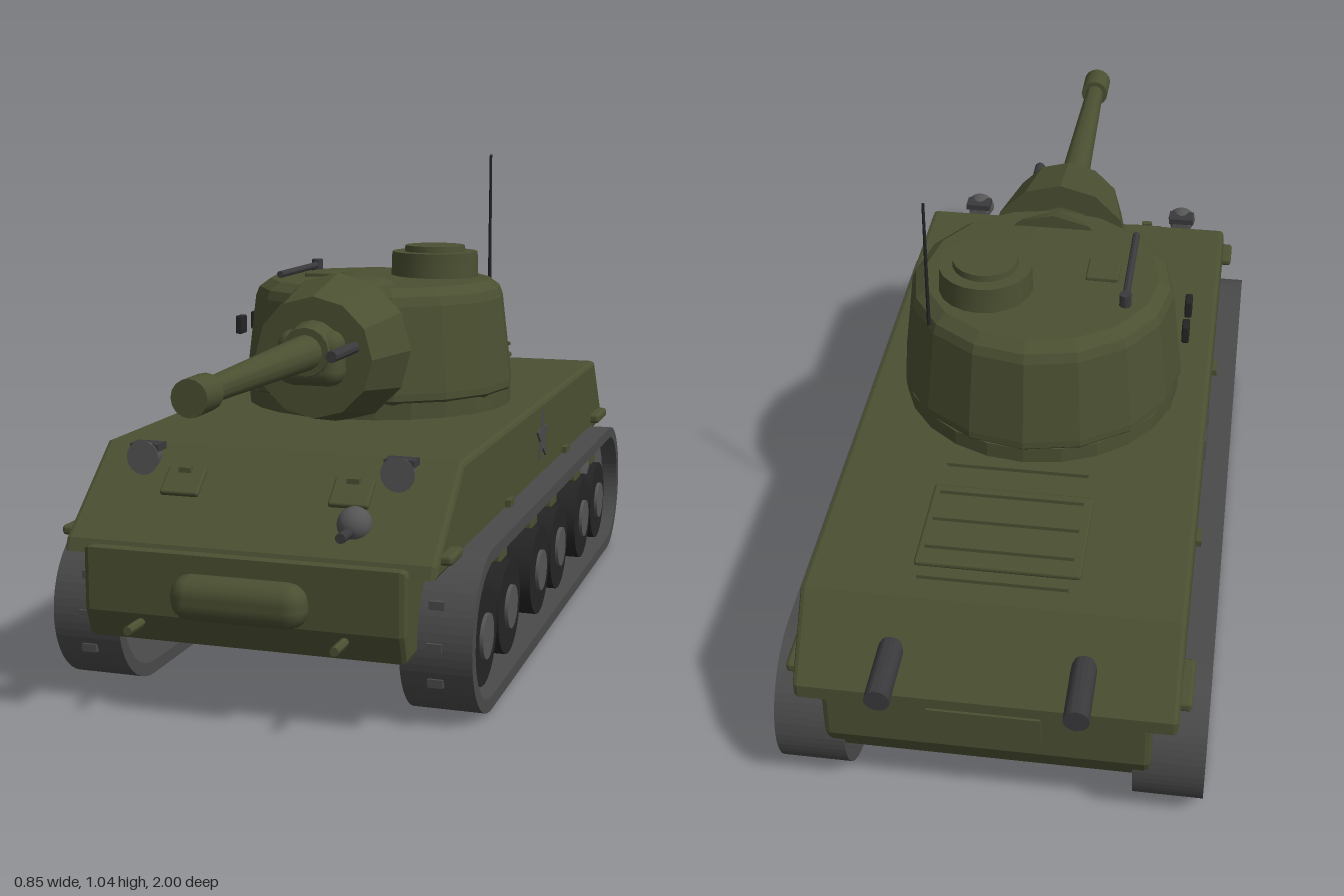
import * as THREE from 'three';
import { toCreasedNormals } from 'three/addons/utils/BufferGeometryUtils.js';
import { RoundedBoxGeometry } from 'three/addons/geometries/RoundedBoxGeometry.js';

const paint = (name, color) => Object.assign(new THREE.MeshStandardMaterial({ color }), { name });

export function createModel() {
  const model = new THREE.Group();
  model.name = 'tank';
  const green = paint('olive green', 0x4b5032);
  const grey = paint('track grey', 0x4a4a4a);
  const hubGrey = paint('hub grey', 0x555555);
  const rubber = paint('rubber black', 0x242424);
  const steel = paint('gun steel', 0x3a3a3c);

  const add = (name, geo, mat, x = 0, y = 0, z = 0, parent = model) => {
    const mesh = new THREE.Mesh(geo, mat);
    mesh.name = name;
    mesh.position.set(x, y, z);
    parent.add(mesh);
    return mesh;
  };
  const crease = (geo, angle = 0.25) => toCreasedNormals(geo, angle);
  const box = (w, h, d) => new THREE.BoxGeometry(w, h, d);
  const rbox = (w, h, d, r) => new RoundedBoxGeometry(w, h, d, 2, r);
  // Cylinders along each axis; the first radius faces +z or +y
  const cylY = (r1, r2, h, n = 20) => crease(new THREE.CylinderGeometry(r1, r2, h, n), 0.6);
  const cylZ = (r1, r2, h, n = 16) => cylY(r1, r2, h, n).rotateX(Math.PI / 2);
  const cylX = (r, h, n = 24) => cylY(r, r, h, n).rotateZ(Math.PI / 2);
  const lathe = (pts, n) => crease(new THREE.LatheGeometry(pts.map(p => new THREE.Vector2(...p)), n), 0.1);

  // Side profile (z, y) swept across the width
  const sweep = (shape, width, bevel = 0) => {
    const geo = new THREE.ExtrudeGeometry(shape, {
      depth: width - 2 * bevel, bevelEnabled: bevel > 0, bevelSize: bevel, bevelThickness: bevel,
      bevelOffset: -bevel, bevelSegments: 2, curveSegments: 16,
    });
    return geo.translate(0, 0, bevel - width / 2).rotateY(-Math.PI / 2);
  };
  const profile = pts => new THREE.Shape(pts.map(p => new THREE.Vector2(...p)));

  // Hull
  add('upperHull', sweep(profile([[0.765, 0.305], [0.755, 0.33], [0.565, 0.485], [-0.81, 0.485],
    [-0.925, 0.335], [-0.925, 0.305]]), 0.74, 0.01), green);
  add('lowerHull', sweep(profile([[0.765, 0.145], [0.785, 0.2], [0.785, 0.322], [-0.915, 0.322],
    [-0.915, 0.2], [-0.89, 0.145]]), 0.64, 0.012), green);
  add('bellyPlate', box(0.31, 0.012, 0.7), green, 0, 0.141, 0);
  add('transmissionCover', rbox(0.27, 0.088, 0.08, 0.038), green, 0, 0.243, 0.785);
  add('rearPlate', box(0.22, 0.065, 0.02), green, 0, 0.278, -0.92);

  // Engine deck with slats
  add('enginePlate', rbox(0.325, 0.014, 0.23, 0.006), green, 0, 0.505, -0.625);
  for (const z of [-0.46, -0.545, -0.625, -0.705, -0.79])
    add('engineSlat', box(0.29, 0.008, 0.01), green, 0, 0.525, z);

  // Star marking outline, in the (z, y) plane
  const star = profile(Array.from({ length: 10 }, (_, i) => {
    const r = i % 2 ? 0.026 : 0.062, a = Math.PI / 2 + i * Math.PI / 5;
    return [r * Math.cos(a), r * Math.sin(a)];
  }));

  // Stadium-shaped track loop
  const stadium = (path, r) => path
    .absarc(0.55, 0.16, r, -Math.PI / 2, Math.PI / 2, false)
    .absarc(-0.74, 0.16, r, Math.PI / 2, Math.PI * 1.5, false)
    .closePath();
  const trackShape = stadium(new THREE.Shape(), 0.16);
  trackShape.holes.push(stadium(new THREE.Path(), 0.134));

  const slope = Math.atan2(0.155, 0.19);
  for (const s of [1, -1]) {
    // Running gear
    const gear = new THREE.Group();
    gear.name = s > 0 ? 'leftRunningGear' : 'rightRunningGear';
    model.add(gear);
    add('track', sweep(trackShape, 0.14), grey, s * 0.355, 0, 0, gear);
    add('sprocket', cylX(0.126, 0.08), hubGrey, s * 0.345, 0.16, 0.575, gear);
    add('idler', cylX(0.12, 0.08), hubGrey, s * 0.345, 0.16, -0.755, gear);
    for (const z of [0.52, 0.31, 0.015, -0.2, -0.495, -0.705]) {
      add('roadWheel', cylX(0.098, 0.085), rubber, s * 0.36, 0.135, z, gear);
      add('wheelHub', cylX(0.045, 0.1), hubGrey, s * 0.36, 0.135, z, gear);
      add('suspensionBracket', rbox(0.07, 0.026, 0.065, 0.006), green, s * 0.355, 0.244, z, gear);
    }
    for (const [y, z] of [[0.24, 0.69], [0.165, 0.709], [0.093, 0.697]])
      add('trackTooth', box(0.03, 0.016, 0.014), grey, s * 0.353, y, z, gear);

    // Hull side fittings
    add('sideStar', sweep(star, 0.006), grey, s * 0.371, 0.405, -0.14);
    add('rearFender', rbox(0.03, 0.024, 0.12, 0.008), green, s * 0.377, 0.337, -0.825);
    add('frontFender', rbox(0.03, 0.02, 0.08, 0.008), green, s * 0.377, 0.335, 0.69);
    for (const z of [0.2, -0.4]) add('sideLug', box(0.014, 0.02, 0.04), green, s * 0.374, 0.325, z);

    // Front and rear fittings
    add('exhaust', cylZ(0.025, 0.025, 0.14), steel, s * 0.185, 0.4, -0.93);
    add('towHook', cylZ(0.009, 0.009, 0.06, 8), green, s * 0.203, 0.182, 0.81);
    add('headlight', cylZ(0.034, 0.022, 0.045), hubGrey, s * 0.26, 0.468, 0.615);
    add('headlightGuard', box(0.06, 0.014, 0.04), steel, s * 0.26, 0.487, 0.61);
    add('driverHatch', rbox(0.08, 0.014, 0.068, 0.005), green, s * 0.172, 0.427, 0.64).rotation.x = slope;
    add('hatchHandle', box(0.025, 0.01, 0.014), green, s * 0.172, 0.449, 0.63);
  }
  add('hullGunBall', new THREE.SphereGeometry(0.034, 16, 12), hubGrey, 0.195, 0.382, 0.695);
  add('hullGun', cylZ(0.01, 0.01, 0.08, 10), steel, 0.195, 0.375, 0.74);

  // Turret
  const turret = new THREE.Group();
  turret.name = 'turret';
  turret.position.set(0, 0, -0.09);
  model.add(turret);
  add('turretRing', crease(new THREE.CylinderGeometry(0.3, 0.3, 0.04, 24), 0.1), green, 0, 0.5, 0, turret);
  add('turretBody', lathe([[0, 0.513], [0.295, 0.513], [0.305, 0.525], [0.305, 0.54], [0.283, 0.725],
    [0.275, 0.745], [0.25, 0.763], [0, 0.767]], 16), green, 0, 0, 0, turret);
  add('cupola', cylY(0.098, 0.1, 0.06, 20), green, 0.11, 0.79, -0.07, turret);
  add('cupolaHatch', cylY(0.068, 0.07, 0.02, 20), green, 0.11, 0.824, -0.07, turret);
  add('loaderHatch', rbox(0.07, 0.012, 0.075, 0.004), green, -0.13, 0.768, 0.015, turret);
  add('antenna', cylY(0.003, 0.004, 0.29, 8), rubber, 0.208, 0.892, -0.2, turret);
  add('roofGun', cylZ(0.008, 0.008, 0.26, 8), steel, -0.187, 0.777, 0.02, turret);
  add('roofGunMount', cylY(0.013, 0.013, 0.04, 10), steel, -0.187, 0.771, -0.1, turret);
  for (const z of [-0.02, 0.075]) add('visionBlock', rbox(0.016, 0.042, 0.035, 0.004), rubber, -0.312, 0.652, z, turret);

  // Gun and mantlet
  add('mantlet', crease(new THREE.CylinderGeometry(0.126, 0.16, 0.165, 12), 0.1).rotateX(Math.PI / 2),
    green, 0, 0.64, 0.288);
  add('mantletNeck', cylZ(0.1, 0.155, 0.13, 12), green, 0, 0.64, 0.15);
  add('gunCollar', rbox(0.14, 0.115, 0.09, 0.032), green, 0, 0.642, 0.37);
  add('gunSleeve', cylZ(0.05, 0.06, 0.05), green, 0, 0.658, 0.395);
  add('gunBarrel', cylZ(0.022, 0.037, 0.55), green, 0, 0.657, 0.67);
  add('muzzleBrake', cylZ(0.034, 0.034, 0.074), green, 0, 0.657, 0.963);
  add('coaxialGun', cylZ(0.012, 0.012, 0.16, 10), steel, 0.088, 0.665, 0.435);
  return model;
}
